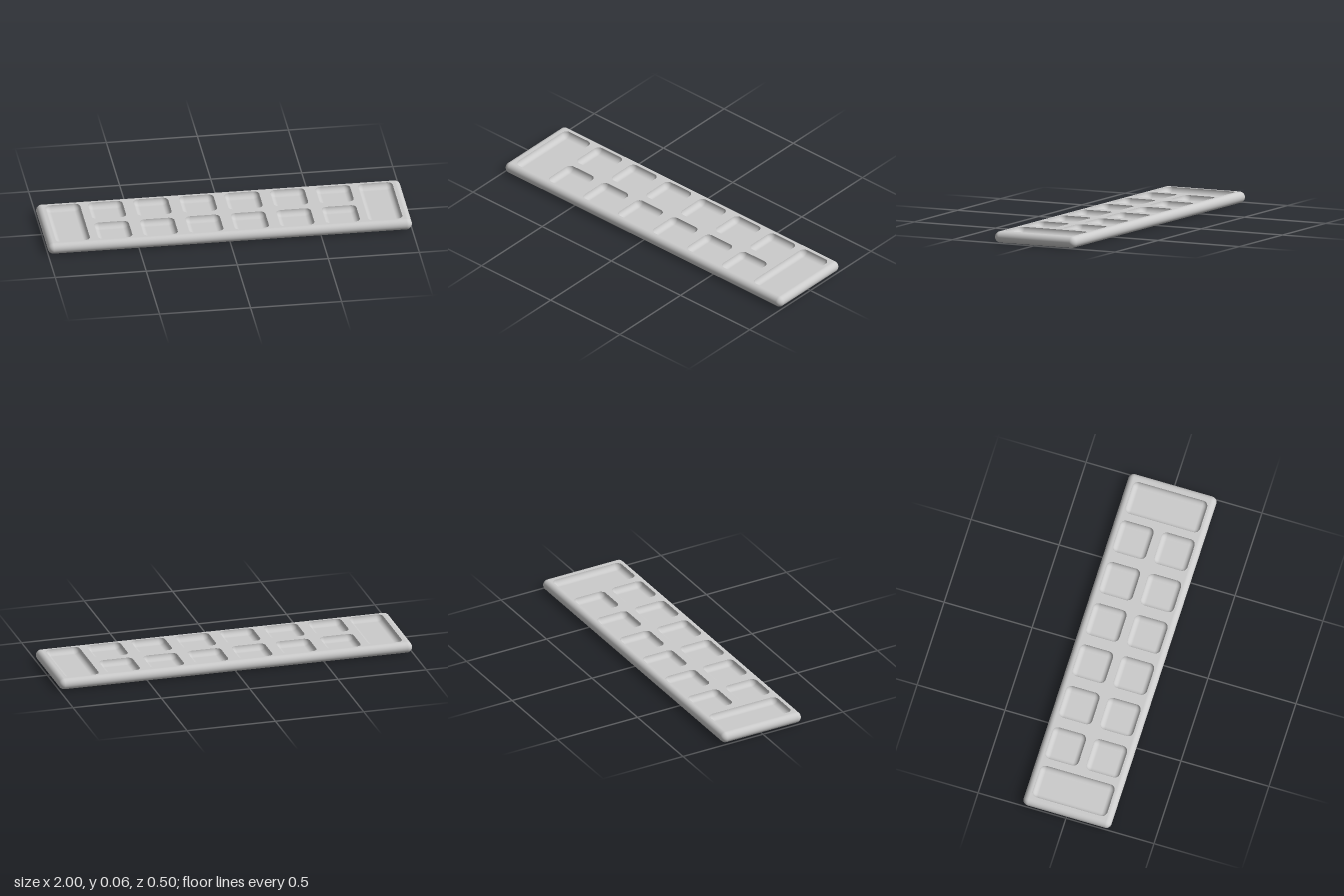
import * as THREE from 'three';

const W = 2, D = 0.5, R = 0.031;   // board size and edge radius
const CORNER = 8;                  // segments per rounded corner

// Points around a rounded rectangle: core corner plus direction angle
function ringPoints(w, d, r) {
  const points = [];
  [[1, 1], [-1, 1], [-1, -1], [1, -1]].forEach(([sx, sz], q) => {
    for (let i = 0; i <= CORNER; i++) {
      const t = (q + i / CORNER) * Math.PI / 2;
      points.push({ x: sx * (w / 2 - r), z: sz * (d / 2 - r), c: Math.cos(t), s: Math.sin(t) });
    }
  });
  return points;
}

// Quarter- or half-round rim swept around a rounded rectangle, optionally facing inward
function roundedRim(w, d, r, y, phi0, phi1, steps, inward) {
  const ring = ringPoints(w, d, r), n = ring.length;
  const pos = [], nor = [], idx = [], sign = inward ? -1 : 1;
  for (let j = 0; j <= steps; j++) {
    const phi = phi0 + (phi1 - phi0) * j / steps;
    const cp = Math.cos(phi), sp = Math.sin(phi);
    for (const p of ring) {
      pos.push(p.x + r * cp * p.c, y + r * sp, p.z + r * cp * p.s);
      nor.push(sign * cp * p.c, sign * sp, sign * cp * p.s);
    }
  }
  for (let j = 0; j < steps; j++) {
    for (let i = 0; i < n; i++) {
      const a = j * n + i, b = j * n + (i + 1) % n, c = b + n, e = a + n;
      if (inward) idx.push(a, c, e, a, b, c);
      else idx.push(a, e, c, a, c, b);
    }
  }
  const g = new THREE.BufferGeometry();
  g.setAttribute('position', new THREE.Float32BufferAttribute(pos, 3));
  g.setAttribute('normal', new THREE.Float32BufferAttribute(nor, 3));
  g.setIndex(idx);
  return g;
}

export function createModel() {
  const grey = new THREE.MeshStandardMaterial({ color: 0xcccccc });
  grey.name = 'light grey';
  const model = new THREE.Group();
  model.name = 'pitBoard';
  const add = (parent, name, geometry) => {
    const mesh = new THREE.Mesh(geometry, grey);
    mesh.name = name;
    parent.add(mesh);
    return mesh;
  };

  // Two long end trays and two rows of six square pits
  const pits = [];
  for (const s of [-1, 1]) {
    pits.push({ name: 'endTray', x: s * 0.858, z: 0, w: 0.19, d: 0.424 });
    for (let i = 0; i < 6; i++) {
      pits.push({ name: 'squarePit', x: -0.625 + i * 0.25, z: s * 0.117, w: 0.19, d: 0.19 });
    }
  }

  // Board: rounded edge, flat underside, top pierced by the pits
  add(model, 'boardEdge', roundedRim(W, D, R, R, -Math.PI / 2, Math.PI / 2, 20, false));
  add(model, 'boardUnderside', new THREE.PlaneGeometry(W - 2 * R, D - 2 * R).rotateX(Math.PI / 2));

  const hw = W / 2 - R, hd = D / 2 - R;
  const top = new THREE.Shape([[-hw, -hd], [hw, -hd], [hw, hd], [-hw, hd]]
    .map(([x, y]) => new THREE.Vector2(x, y)));
  for (const p of pits) {
    top.holes.push(new THREE.Path(ringPoints(p.w, p.d, R).map(
      (q) => new THREE.Vector2(p.x + q.x + R * q.c, -(p.z + q.z + R * q.s)))));
  }
  add(model, 'boardTop', new THREE.ShapeGeometry(top).rotateX(-Math.PI / 2).translate(0, 2 * R, 0));

  // Hollows: curved wall down to a flat floor
  for (const p of pits) {
    const pit = new THREE.Group();
    pit.name = p.name;
    pit.position.set(p.x, 0, p.z);
    add(pit, p.name + 'Wall', roundedRim(p.w, p.d, R, 2 * R, -Math.PI / 2, 0, 10, true));
    add(pit, p.name + 'Floor',
      new THREE.PlaneGeometry(p.w - 2 * R, p.d - 2 * R).rotateX(-Math.PI / 2).translate(0, R, 0));
    model.add(pit);
  }
  return model;
}
